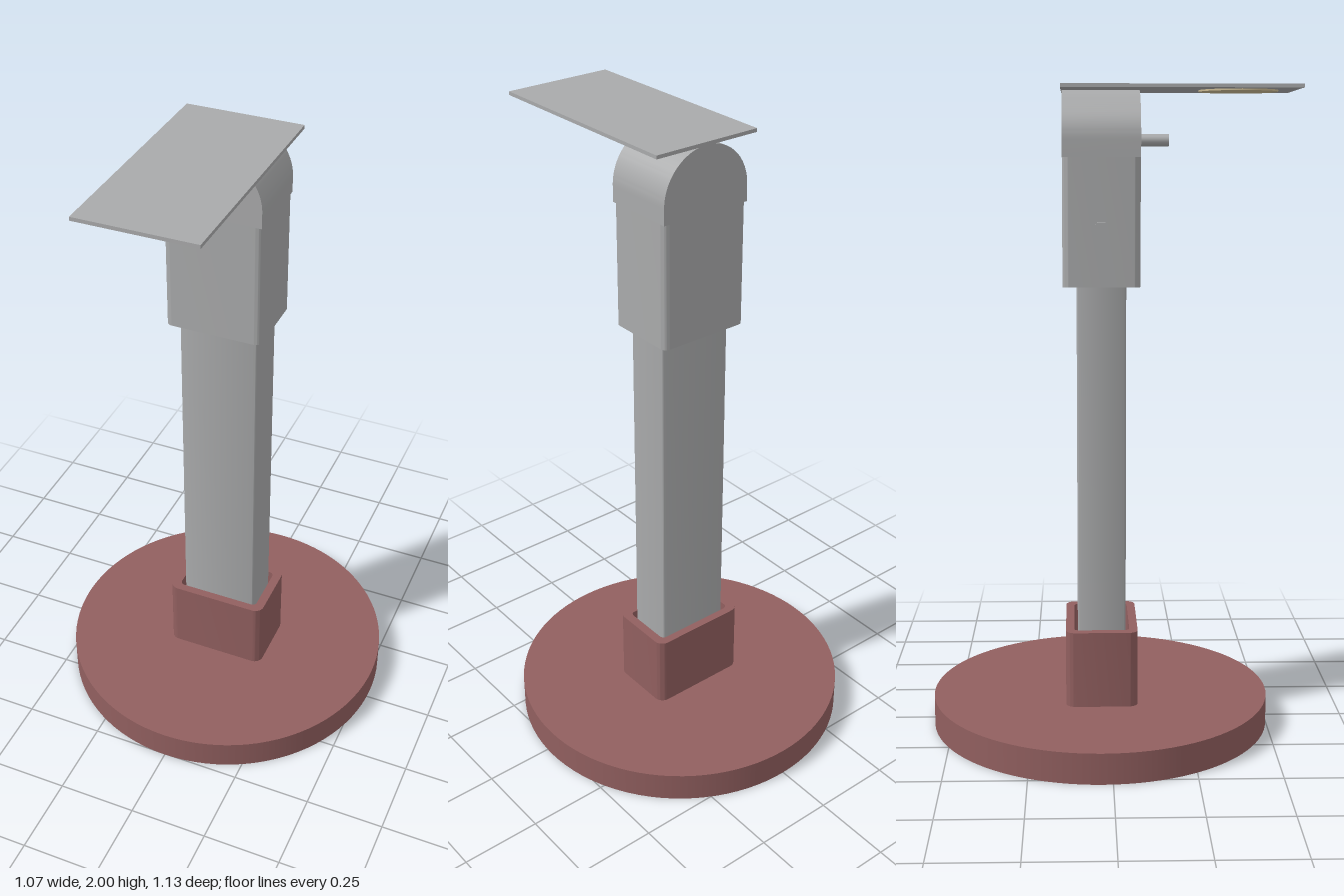
import * as THREE from 'three';
import { toCreasedNormals } from 'three/addons/utils/BufferGeometryUtils.js';

const paint = (name, color) => {
  const m = new THREE.MeshStandardMaterial({ color });
  m.name = name;
  return m;
};

// Rounded rectangle centred on the origin
function roundedRect(w, d, r, target = new THREE.Shape()) {
  const x = w / 2, y = d / 2;
  target.moveTo(-x + r, -y);
  target.lineTo(x - r, -y);
  target.absarc(x - r, -y + r, r, -Math.PI / 2, 0);
  target.lineTo(x, y - r);
  target.absarc(x - r, y - r, r, 0, Math.PI / 2);
  target.lineTo(-x + r, y);
  target.absarc(-x + r, y - r, r, Math.PI / 2, Math.PI);
  target.lineTo(-x, -y + r);
  target.absarc(-x + r, -y + r, r, Math.PI, Math.PI * 1.5);
  return target;
}

function extrude(shape, depth, curveSegments = 8) {
  return toCreasedNormals(
    new THREE.ExtrudeGeometry(shape, { depth, bevelEnabled: false, curveSegments }), 0.6);
}

export function createModel() {
  const grey = paint('grey metal', 0xa9aaab);
  const red = paint('dull red', 0x915f5f);
  const beige = paint('warm beige', 0xc8b892);
  const axisZ = -0.027; // centre line of base and column

  const model = new THREE.Group();
  const add = (name, geometry, material, x, y, z) => {
    const mesh = new THREE.Mesh(geometry, material);
    mesh.name = name;
    mesh.position.set(x, y, z);
    model.add(mesh);
    return mesh;
  };
  // Upright prism standing on y0
  const upright = (name, shape, y0, y1, material) => {
    const g = extrude(shape, y1 - y0).rotateX(-Math.PI / 2);
    return add(name, g, material, 0, y0, axisZ);
  };

  // Round base
  add('base', new THREE.CylinderGeometry(0.533, 0.533, 0.095, 96), red, 0, 0.0475, -0.03);

  // Hollow socket holding the column
  const socket = roundedRect(0.333, 0.224, 0.03);
  socket.holes.push(roundedRect(0.275, 0.172, 0.015, new THREE.Path()));
  upright('socket', socket, 0.095, 0.335, red);

  // Column
  upright('column', roundedRect(0.25, 0.15, 0.012), 0.095, 1.42, grey);

  // Head: rounded box below, half-round hinge above
  upright('headBody', roundedRect(0.3, 0.234, 0.02), 1.405, 1.79, grey);
  const dome = new THREE.Shape();
  dome.moveTo(-0.15, -0.05);
  dome.lineTo(0.15, -0.05);
  dome.lineTo(0.15, 0);
  dome.absarc(0, 0, 0.15, 0, Math.PI);
  dome.lineTo(-0.15, -0.05);
  add('headDome', extrude(dome, 0.234, 32), grey, 0, 1.84, axisZ - 0.117);

  // Hinge pin at the front
  const pin = new THREE.CylinderGeometry(0.018, 0.018, 0.1, 20).rotateX(Math.PI / 2);
  add('hingePin', pin, grey, 0, 1.84, 0.13);

  // Side switch
  const toggle = extrude(roundedRect(0.036, 0.072, 0.008), 0.02).rotateY(-Math.PI / 2);
  add('sideSwitch', toggle, grey, -0.145, 1.562, axisZ);

  // Top plate with a round pad beneath
  add('topPlate', new THREE.BoxGeometry(0.356, 0.011, 0.713), grey, 0, 1.9945, 0.2085);
  add('roundPad', new THREE.CylinderGeometry(0.12, 0.12, 0.006, 48), beige, 0, 1.987, 0.39);

  return model;
}
